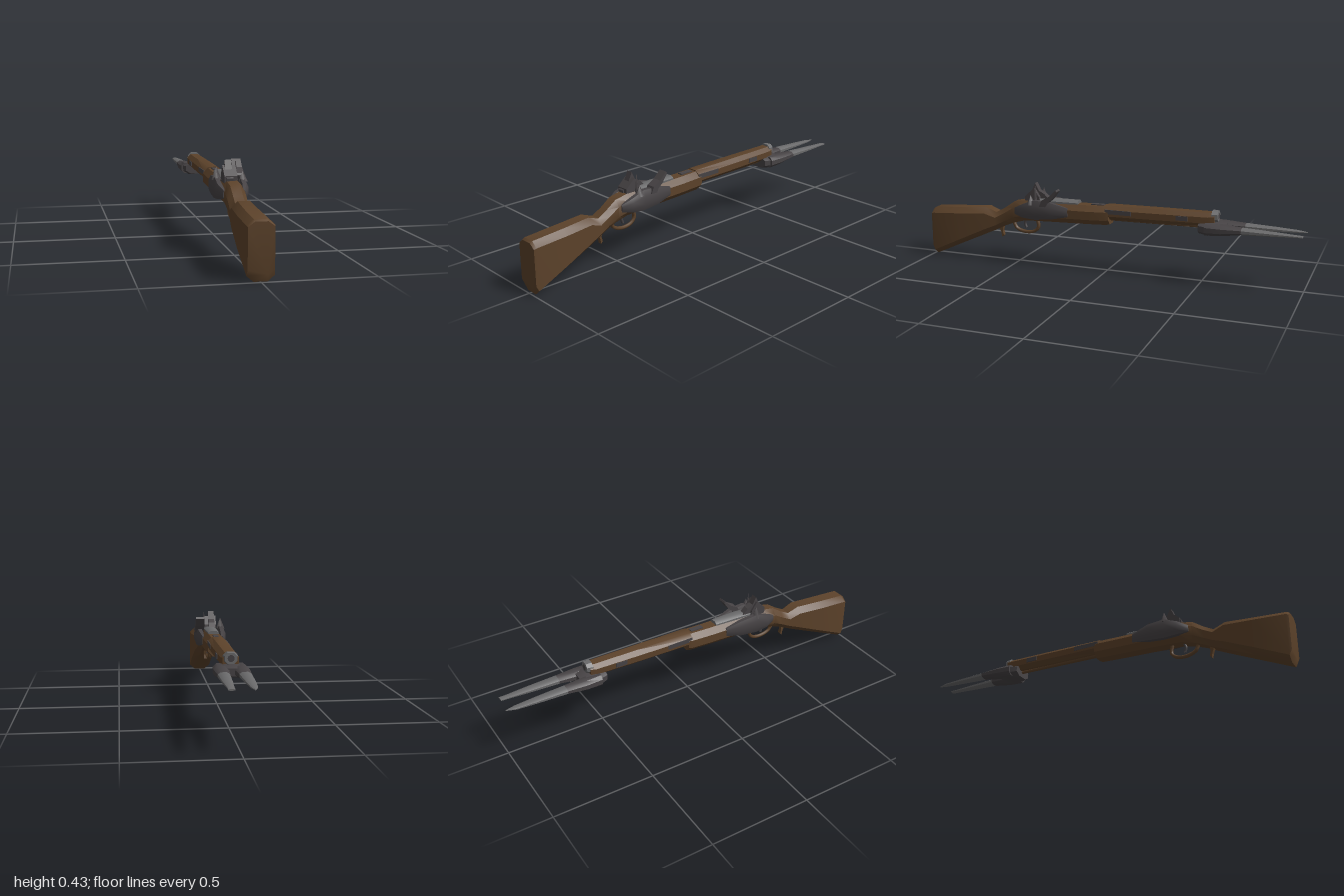
import * as THREE from 'three';
import { toCreasedNormals } from 'three/addons/utils/BufferGeometryUtils.js';

const mat = (name, color) => Object.assign(
  new THREE.MeshStandardMaterial({ color, side: THREE.DoubleSide }), { name });

// Eight-sided loft along z. Section: [z, centreX, halfWidth, bottomY, topY, verticalChamfer]
function loft(sections) {
  const pos = [], idx = [];
  for (const [z, cx, w, b, t, c = 0.28] of sections) {
    const k = w * 0.5, d = (t - b) * c;
    const ring = [[k, b], [w, b + d], [w, t - d], [k, t], [-k, t], [-w, t - d], [-w, b + d], [-k, b]];
    for (const [x, y] of ring) pos.push(cx + x, y, z);
  }
  for (let i = 0; i < sections.length - 1; i++) {
    for (let j = 0; j < 8; j++) {
      const a = i * 8 + j, b = i * 8 + (j + 1) % 8;
      idx.push(a, a + 8, b, b, a + 8, b + 8);
    }
  }
  const e = (sections.length - 1) * 8;
  for (let j = 1; j < 7; j++) idx.push(0, j, j + 1, e, e + j + 1, e + j);
  const g = new THREE.BufferGeometry();
  g.setAttribute('position', new THREE.Float32BufferAttribute(pos, 3));
  g.setIndex(idx);
  return toCreasedNormals(g, 0.7);
}

// Side profile of [z, y] points, extruded from x0 to x1
function profile(points, x0, x1) {
  const shape = new THREE.Shape(points.map(([z, y]) => new THREE.Vector2(-z, y)));
  const g = new THREE.ExtrudeGeometry(shape, { depth: x1 - x0, bevelEnabled: false });
  return g.rotateY(Math.PI / 2).translate(x0, 0, 0);
}

function tube(points, r) {
  const curve = new THREE.CatmullRomCurve3(points.map(([z, y]) => new THREE.Vector3(0, y, z)));
  return new THREE.TubeGeometry(curve, 14, r, 6);
}

export function createModel() {
  const root = new THREE.Group();
  root.name = 'musket';
  const wood = mat('walnut wood', 0x5c422a);
  const iron = mat('dark iron', 0x474345);
  const steel = mat('pale steel', 0x6a6a6b);
  const add = (name, geo, material) => {
    const m = new THREE.Mesh(geo, material);
    m.name = name;
    root.add(m);
    return m;
  };

  // Butt, wrist and fore-stock
  add('stock', loft([
    [0.997, 0, 0.057, 0.03, 0.25, 0.1],
    [0.985, 0, 0.06, 0.0, 0.258, 0.1],
    [0.82, 0, 0.06, 0.075, 0.27, 0.14],
    [0.68, 0, 0.055, 0.138, 0.282, 0.2],
    [0.62, 0, 0.048, 0.165, 0.26],
    [0.57, 0, 0.045, 0.19, 0.287],
    [0.515, 0, 0.047, 0.212, 0.325],
    [0.45, 0, 0.052, 0.23, 0.338],
    [0.3, 0, 0.055, 0.236, 0.338],
    [0.1, 0, 0.054, 0.242, 0.34],
    [0.0, 0, 0.052, 0.246, 0.343],
    [-0.02, 0, 0.048, 0.25, 0.343],
  ]), wood);
  add('barrel', loft([
    [0.0, 0, 0.048, 0.276, 0.348],
    [-0.3, 0, 0.045, 0.28, 0.352],
    [-0.53, 0, 0.042, 0.286, 0.354],
    [-0.56, 0, 0.036, 0.29, 0.356],
  ]), wood);
  add('ramrod', new THREE.CylinderGeometry(0.008, 0.014, 0.5, 8)
    .rotateX(-Math.PI / 2).translate(0, 0.279, -0.25), wood);

  // Muzzle
  add('muzzleRing', loft([
    [-0.545, 0, 0.034, 0.305, 0.364],
    [-0.575, 0, 0.028, 0.312, 0.362],
  ]), steel);
  add('bore', new THREE.CircleGeometry(0.016, 10).rotateY(Math.PI).translate(0, 0.337, -0.577), iron);

  // Twin bayonet
  add('bayonetCollar', loft([
    [-0.485, 0, 0.056, 0.25, 0.31],
    [-0.53, 0, 0.07, 0.243, 0.312],
    [-0.59, 0, 0.076, 0.254, 0.306],
    [-0.615, 0, 0.06, 0.264, 0.3],
  ]), iron);
  for (const s of [-1, 1]) {
    add(s > 0 ? 'leftBayonetArm' : 'rightBayonetArm', loft([
      [-0.52, s * 0.045, 0.032, 0.25, 0.308],
      [-0.6, s * 0.046, 0.035, 0.255, 0.306],
      [-0.7, s * 0.047, 0.027, 0.269, 0.3],
    ]), iron);
    add(s > 0 ? 'leftBlade' : 'rightBlade', loft([
      [-0.7, s * 0.047, 0.027, 0.269, 0.3],
      [-0.85, s * 0.048, 0.021, 0.274, 0.294],
      [-0.95, s * 0.048, 0.015, 0.278, 0.289],
      s > 0 ? [-0.988, 0.049, 0.015, 0.28, 0.287] : [-0.998, -0.045, 0.002, 0.281, 0.285],
    ]), steel);

    // Lock plates and dark inlays on both flanks
    add(s > 0 ? 'leftLockPlate' : 'rightLockPlate', loft([
      [0.5, s * 0.045, 0.008, 0.265, 0.3],
      [0.45, s * 0.058, 0.02, 0.255, 0.325],
      [0.38, s * 0.061, 0.021, 0.25, 0.352],
      [0.29, s * 0.059, 0.021, 0.258, 0.345],
      [0.2, s * 0.05, 0.008, 0.275, 0.32],
    ]), iron);
    for (const [z, len] of [[-0.07, 0.14], [-0.4, 0.06]]) {
      add('barrelInlay', new THREE.BoxGeometry(0.005, 0.022, len)
        .translate(s * 0.046, 0.32, z), iron);
    }
  }
  add('topInlay', new THREE.BoxGeometry(0.026, 0.006, 0.07).translate(0, 0.343, 0.05), iron);

  // Breech
  add('breechPlate', loft([
    [0.4, 0, 0.03, 0.32, 0.348],
    [0.3, 0, 0.031, 0.32, 0.355],
    [0.155, 0, 0.028, 0.32, 0.356],
  ]), steel);

  // Flint lock: cock, spikes and striking plate
  add('cock', profile([[0.45, 0.3], [0.456, 0.35], [0.425, 0.375], [0.4, 0.43], [0.38, 0.39],
    [0.35, 0.375], [0.325, 0.35], [0.29, 0.338], [0.3, 0.3]], -0.026, 0.006), iron);
  add('cockJaw', profile([[0.45, 0.3], [0.45, 0.36], [0.4, 0.405], [0.37, 0.36], [0.36, 0.3]],
    -0.036, 0.026), iron);
  add('flint', new THREE.ConeGeometry(0.012, 0.1, 4).translate(0.029, 0.382, 0.39), iron);
  add('lockSpike', new THREE.ConeGeometry(0.024, 0.06, 4).translate(-0.06, 0.366, 0.38), iron);
  add('lockScrew', new THREE.ConeGeometry(0.024, 0.05, 5).translate(0.062, 0.352, 0.4), iron);
  add('strikingPlate', profile([[0.345, 0.325], [0.33, 0.358], [0.29, 0.38], [0.252, 0.417],
    [0.246, 0.408], [0.275, 0.366], [0.3, 0.345], [0.31, 0.325]], 0.038, 0.084), iron);

  // Trigger and guard
  add('triggerGuard', tube([[0.53, 0.21], [0.515, 0.18], [0.465, 0.162], [0.41, 0.17],
    [0.387, 0.195], [0.395, 0.24]], 0.009), wood);
  add('trigger', tube([[0.455, 0.235], [0.465, 0.21], [0.458, 0.185]], 0.007), iron);
  add('guardTail', profile([[0.615, 0.18], [0.602, 0.145], [0.598, 0.122], [0.588, 0.132],
    [0.594, 0.155], [0.59, 0.185]], -0.01, 0.01), wood);

  return root;
}
